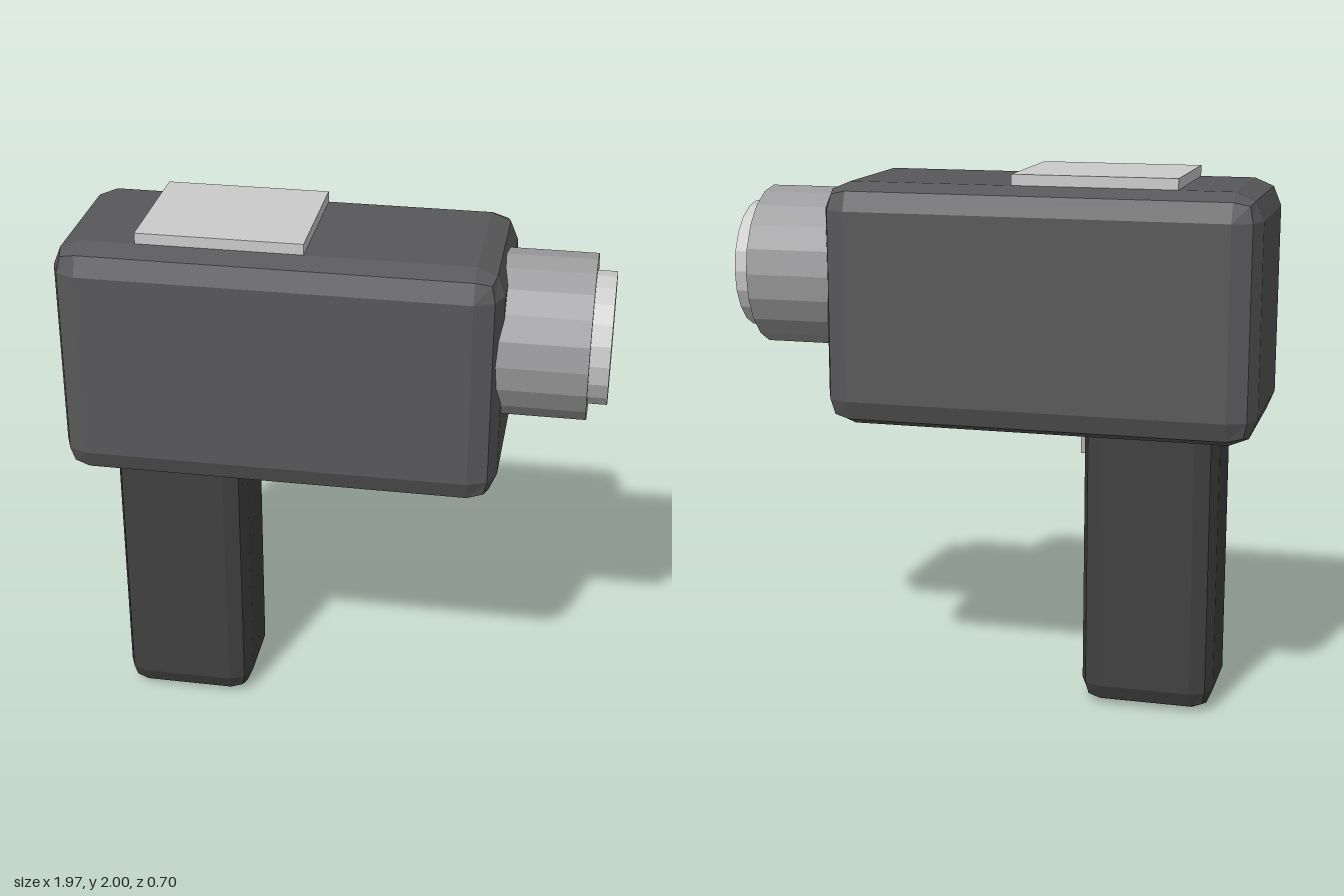
import * as THREE from 'three';
import { RoundedBoxGeometry } from 'three/addons/geometries/RoundedBoxGeometry.js';

const material = (color) => new THREE.MeshStandardMaterial({ color, flatShading: true });

export function createModel() {
  const group = new THREE.Group();

  const add = (name, geometry, color, x, y, z = 0) => {
    const mesh = new THREE.Mesh(geometry, material(color));
    mesh.name = name;
    mesh.position.set(x, y, z);
    group.add(mesh);
    return mesh;
  };

  // Cylinder lying along x, from x0 to x1
  const addRound = (name, radius, x0, x1, y, color) => {
    const geometry = new THREE.CylinderGeometry(radius, radius, x1 - x0, 20);
    geometry.rotateZ(-Math.PI / 2);
    return add(name, geometry, color, (x0 + x1) / 2, y);
  };

  // Main housing and handle, with two-step bevelled edges
  add('body', new RoundedBoxGeometry(1.6, 0.9, 0.7, 1, 0.1), 0x58585a, -0.185, 1.51);
  add('grip', new RoundedBoxGeometry(0.5, 1.2, 0.4, 1, 0.08), 0x404040, -0.585, 0.605);

  // Barrel and lens on the +x end
  addRound('lensBarrel', 0.3, 0.585, 0.915, 1.61, 0x9c9c9e);
  addRound('lens', 0.24, 0.895, 0.985, 1.61, 0xcccccc);

  // Display plate on top
  add('display', new THREE.BoxGeometry(0.6, 0.06, 0.5), 0xcccccc, -0.385, 1.97);

  // Trigger tucked under the body in front of the grip
  add('trigger', new THREE.BoxGeometry(0.1, 0.2, 0.2), 0xb0b0b0, -0.365, 1.06);

  return group;
}
